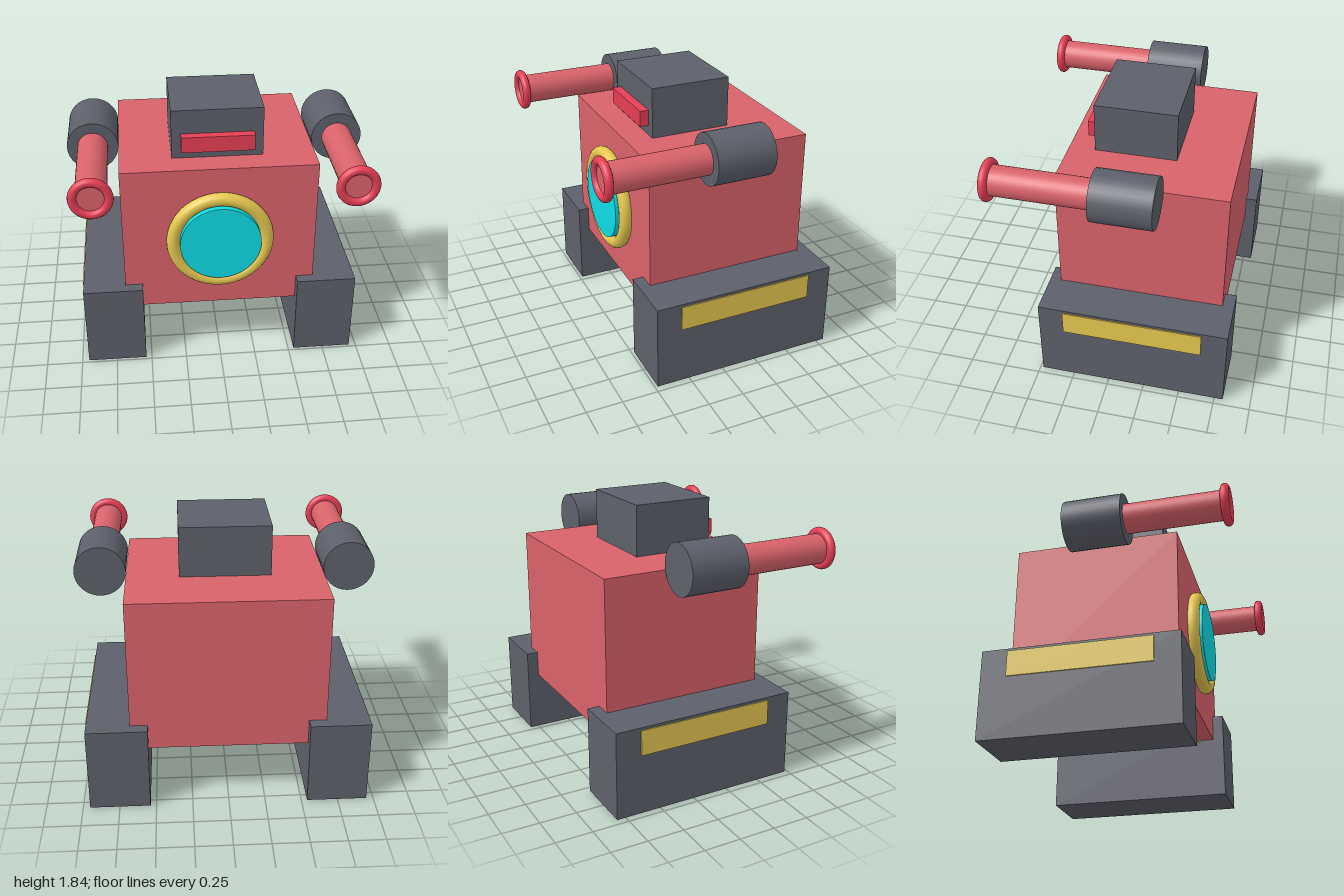
import * as THREE from 'three';

const material = (color) => new THREE.MeshStandardMaterial({ color });

export function createModel() {
  const model = new THREE.Group();
  const red = material(0xd9626a);
  const brightRed = material(0xe63e55);
  const dark = material(0x5d606b);
  const yellow = material(0xe6c850);
  const cyan = material(0x0edbe5);

  const add = (name, geometry, mat, x, y, z) => {
    const mesh = new THREE.Mesh(geometry, mat);
    mesh.name = name;
    mesh.position.set(x, y, z);
    model.add(mesh);
  };
  // Box given by its extents on each axis
  const box = (name, mat, [x0, x1], [y0, y1], [z0, z1]) =>
    add(name, new THREE.BoxGeometry(x1 - x0, y1 - y0, z1 - z0), mat,
      (x0 + x1) / 2, (y0 + y1) / 2, (z0 + z1) / 2);
  // Cylinder lying along z
  const rod = (name, mat, radius, x, y, z0, z1, sides = 32) =>
    add(name, new THREE.CylinderGeometry(radius, radius, z1 - z0, sides).rotateX(Math.PI / 2),
      mat, x, y, (z0 + z1) / 2);

  // Torso and head
  box('body', red, [-0.66, 0.66], [0.42, 1.49], [-0.73, 0.405]);
  box('head', dark, [-0.307, 0.307], [1.49, 1.835], [-0.325, 0.228]);
  box('visor', brightRed, [-0.245, 0.245], [1.557, 1.667], [0.17, 0.288]);

  // Round chest window with its rim
  add('chestRim', new THREE.TorusGeometry(0.32, 0.046, 16, 48), yellow, 0, 0.957, 0.434);
  rod('chestWindow', cyan, 0.276, 0, 0.957, 0.37, 0.49, 48);

  for (const [side, s] of [['left', 1], ['right', -1]]) {
    const span = (a, b) => (s > 0 ? [a, b] : [-b, -a]);

    // Foot, with a stripe running through it
    box(side + 'Foot', dark, span(0.54, 0.952), [0, 0.6], [-0.81, 0.48]);
    box(side + 'FootStripe', yellow, span(0.532, 0.96), [0.41, 0.582], [-0.637, 0.31]);

    // Shoulder, arm barrel and muzzle ring
    const x = s * 0.828;
    rod(side + 'Shoulder', dark, 0.171, x, 1.532, -0.308, 0.095);
    rod(side + 'ArmBarrel', red, 0.101, x, 1.532, 0, 0.778);
    add(side + 'MuzzleRing', new THREE.TorusGeometry(0.113, 0.029, 14, 36), brightRed, x, 1.532, 0.775);
  }

  return model;
}
